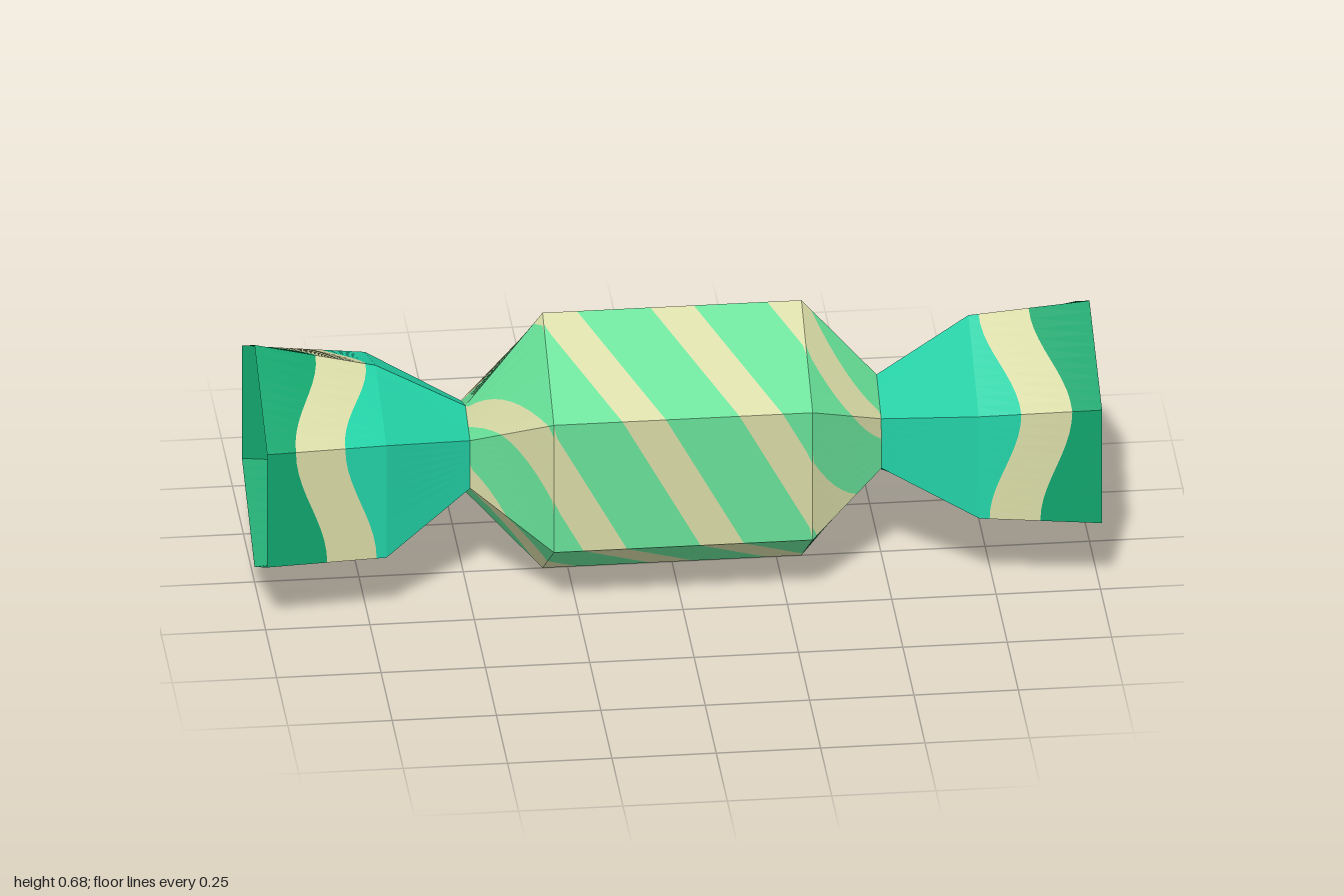
import * as THREE from 'three';

const material = (name, color, side = THREE.DoubleSide) => {
  const m = new THREE.MeshStandardMaterial({ color, side });
  m.name = name;
  return m;
};
const mats = {
  body: material('light green', 0x66df97),
  stripe: material('cream', 0xd6d9a4),
  inner: material('teal', 0x22d0a5),
  outer: material('deep green', 0x10a36c),
};

// Six-sided ring across x: heights of top, upper, lower and bottom corners, half widths of the sides
function ring(x, top, upper, lower, bottom, zUpper, zLower = zUpper) {
  const p = [[top, 0], [upper, zUpper], [lower, zLower], [bottom, 0], [lower, -zLower], [upper, -zUpper]];
  return { x, points: p.map(([y, z]) => new THREE.Vector3(x, y, z)) };
}

// Skins the rings (in rising x) with coloured bands whose borders vary around the ring.
// borders(a) lists band borders for a = 0..6 around; names[i] colours the band after border i.
function skin(rings, borders, names, partName, columns = 10) {
  const positions = {};
  const add = (name, a, b, c) => {
    const area = b.clone().sub(a).cross(c.clone().sub(a)).length();
    if (area < 1e-9) return;
    positions[name] = positions[name] || [];
    for (const v of [a, b, c]) positions[name].push(v.x, v.y, v.z);
  };
  for (let r = 0; r < rings.length - 1; r++) {
    const [lo, hi] = [rings[r], rings[r + 1]];
    for (let k = 0; k < 6; k++) {
      const at = (t, x) => {
        const p = lo.points[k].clone().lerp(lo.points[(k + 1) % 6], t);
        const q = hi.points[k].clone().lerp(hi.points[(k + 1) % 6], t);
        return p.lerp(q, (x - lo.x) / (hi.x - lo.x));
      };
      const clampAll = (list) => list.map((x) => Math.min(hi.x, Math.max(lo.x, x)));
      for (let i = 0; i < columns; i++) {
        const [t0, t1] = [i / columns, (i + 1) / columns];
        const b0 = clampAll(borders(k + t0));
        const b1 = clampAll(borders(k + t1));
        names.forEach((name, n) => {
          const A = at(t0, b0[n]), B = at(t1, b1[n]);
          const C = at(t1, b1[n + 1]), D = at(t0, b0[n + 1]);
          add(name, A, B, C);
          add(name, A, C, D);
        });
      }
    }
  }
  const group = new THREE.Group();
  group.name = partName;
  for (const name in positions) {
    const g = new THREE.BufferGeometry();
    g.setAttribute('position', new THREE.Float32BufferAttribute(positions[name], 3));
    g.computeVertexNormals();
    const mesh = new THREE.Mesh(g, mats[name]);
    mesh.name = `${partName} ${mats[name].name}`;
    group.add(mesh);
  }
  return group;
}

export function createModel() {
  const model = new THREE.Group();
  model.name = 'wrappedCandy';

  const neckLeft = ring(0.49, 0.475, 0.41, 0.28, 0.225, 0.105, 0.11);
  const neckRight = ring(-0.495, 0.445, 0.405, 0.28, 0.215, 0.105, 0.11);

  // Candy body with spiral stripes: four stripe steps per turn
  const step = 0.28, half = 0.052;
  const names = [], starts = [];
  for (let n = -8; n <= 4; n++) {
    starts.push(n * step - half, n * step + half);
    names.push('stripe', 'body');
  }
  names.pop();
  const spiral = (a) => starts.map((s, i) =>
    i === 0 ? -9 : i === starts.length - 1 ? 9 : s + (a * 4 * step) / 6);
  model.add(skin([
    ring(-0.53, 0.345, 0.345, 0.345, 0.345, 0),
    neckRight,
    ring(-0.31, 0.684, 0.513, 0.172, 0, 0.255),
    ring(0.31, 0.684, 0.513, 0.172, 0, 0.255),
    neckLeft,
    ring(0.53, 0.345, 0.345, 0.345, 0.345, 0),
  ], spiral, names, 'body'));

  // Flared open wrapper ends with a wavy stripe
  const wave = (a) => 0.832 - 0.038 * Math.cos(a * Math.PI);
  const w = 0.06;
  model.add(skin([
    neckLeft,
    ring(0.71, 0.622, 0.47, 0.205, 0.128, 0.235, 0.25),
    ring(1, 0.645, 0.498, 0.195, 0.05, 0.285),
  ], (a) => [-9, wave(a) - w, wave(a) + w, 9], ['inner', 'stripe', 'outer'], 'leftWrapperEnd'));
  model.add(skin([
    ring(-1, 0.635, 0.487, 0.185, 0.04, 0.285),
    ring(-0.71, 0.565, 0.475, 0.175, 0.07, 0.245),
    neckRight,
  ], (a) => [-9, -wave(a) - w, -wave(a) + w, 9], ['outer', 'stripe', 'inner'], 'rightWrapperEnd'));

  return model;
}
